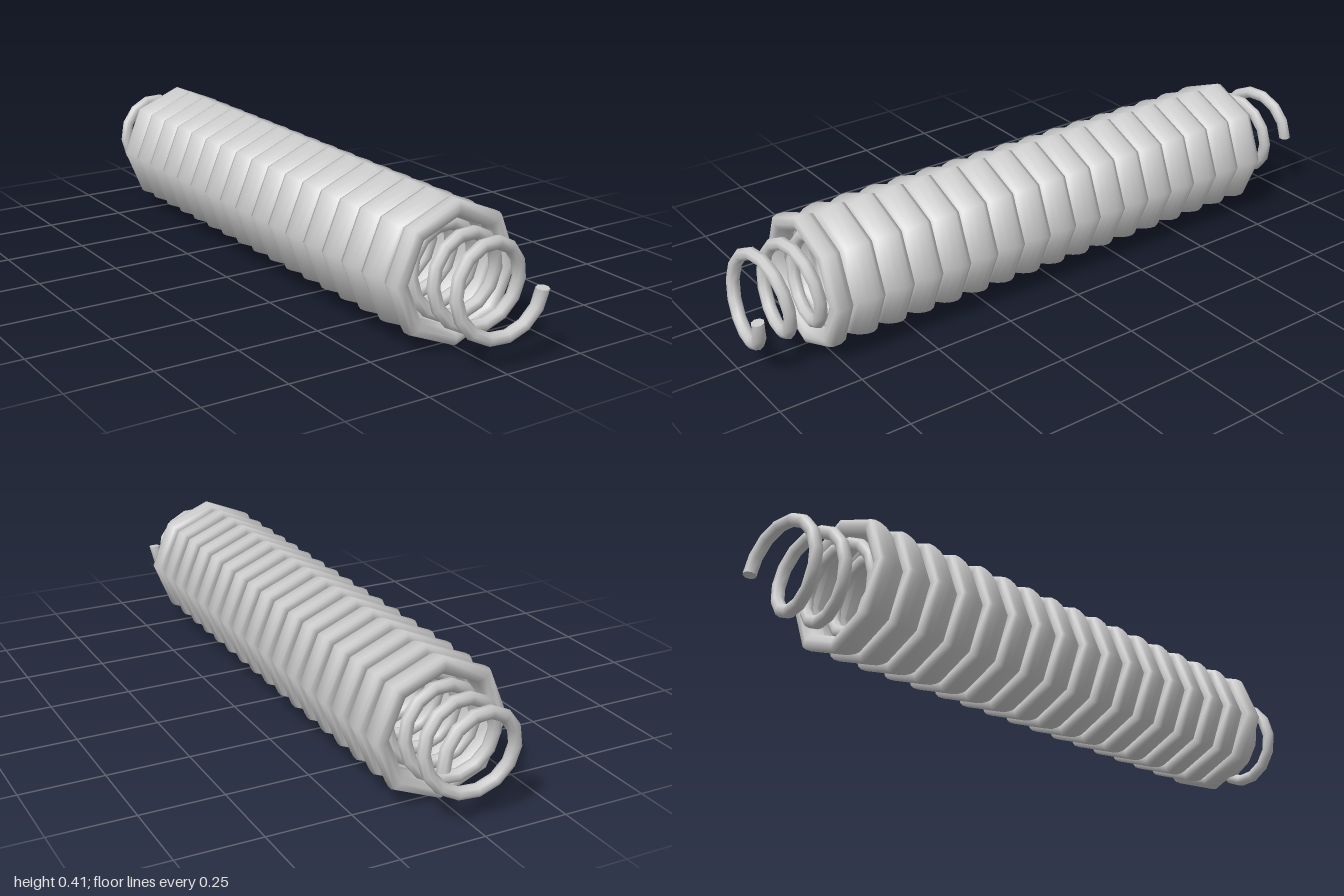
import * as THREE from 'three';

const CENTRE_Y = 0.205;
const PITCH = 0.0945;

// Spiral along z, starting and ending on the +x side
class Helix extends THREE.Curve {
  constructor(radius, halfLength, turns) {
    super();
    Object.assign(this, { radius, halfLength, turns });
  }
  getPoint(t, target = new THREE.Vector3()) {
    const a = -2 * Math.PI * this.turns * t;
    return target.set(this.radius * Math.cos(a), this.radius * Math.sin(a), this.halfLength * (1 - 2 * t));
  }
}

// Eight-sided ring around the z axis from a closed [radius, z] profile
function ringGeometry(profile) {
  const points = [...profile, profile[0]].map(([r, z]) => new THREE.Vector2(r, z));
  return new THREE.LatheGeometry(points, 8).rotateX(Math.PI / 2);
}

export function createModel() {
  const model = new THREE.Group();
  model.name = 'doubleSpring';
  const steel = new THREE.MeshStandardMaterial({ color: 0xcccccc });
  steel.name = 'light steel grey';

  // Thick outer coil: overlapping rings, tapering towards the front
  const outer = new THREE.Group();
  outer.name = 'outerCoil';
  const coil = ringGeometry([
    [0.152, 0.05], [0.157, 0.014], [0.178, 0], [0.2, 0.003], [0.205, 0.016],
    [0.204, 0.036], [0.198, 0.06], [0.188, 0.08], [0.174, 0.1], [0.16, 0.088],
  ]);
  const endCoil = ringGeometry([
    [0.152, 0.034], [0.157, 0.012], [0.178, 0], [0.197, 0.008], [0.205, 0.026],
    [0.205, 0.05], [0.2, 0.064], [0.18, 0.07], [0.16, 0.06],
  ]);
  for (let i = 0; i < 17; i++) {
    const ring = new THREE.Mesh(i === 16 ? endCoil : coil, steel);
    ring.name = 'outerRing';
    ring.position.z = -0.787 + i * PITCH;
    outer.add(ring);
  }

  // Thin inner coil, fourteen segments per turn
  const inner = new THREE.Group();
  inner.name = 'innerCoil';
  const path = new Helix(0.1225, 0.981, 21);
  const wire = new THREE.Mesh(new THREE.TubeGeometry(path, 21 * 14, 0.019, 8), steel);
  wire.name = 'innerWire';
  inner.add(wire);

  // Flat caps on both wire ends
  for (const t of [0, 1]) {
    const cap = new THREE.Mesh(new THREE.CircleGeometry(0.019, 8), steel);
    cap.name = 'wireEnd';
    const outward = path.getTangentAt(t).multiplyScalar(t ? 1 : -1);
    cap.quaternion.setFromUnitVectors(new THREE.Vector3(0, 0, 1), outward);
    cap.position.copy(path.getPointAt(t));
    inner.add(cap);
  }

  model.add(outer, inner);
  for (const part of model.children) part.position.y = CENTRE_Y;
  return model;
}
